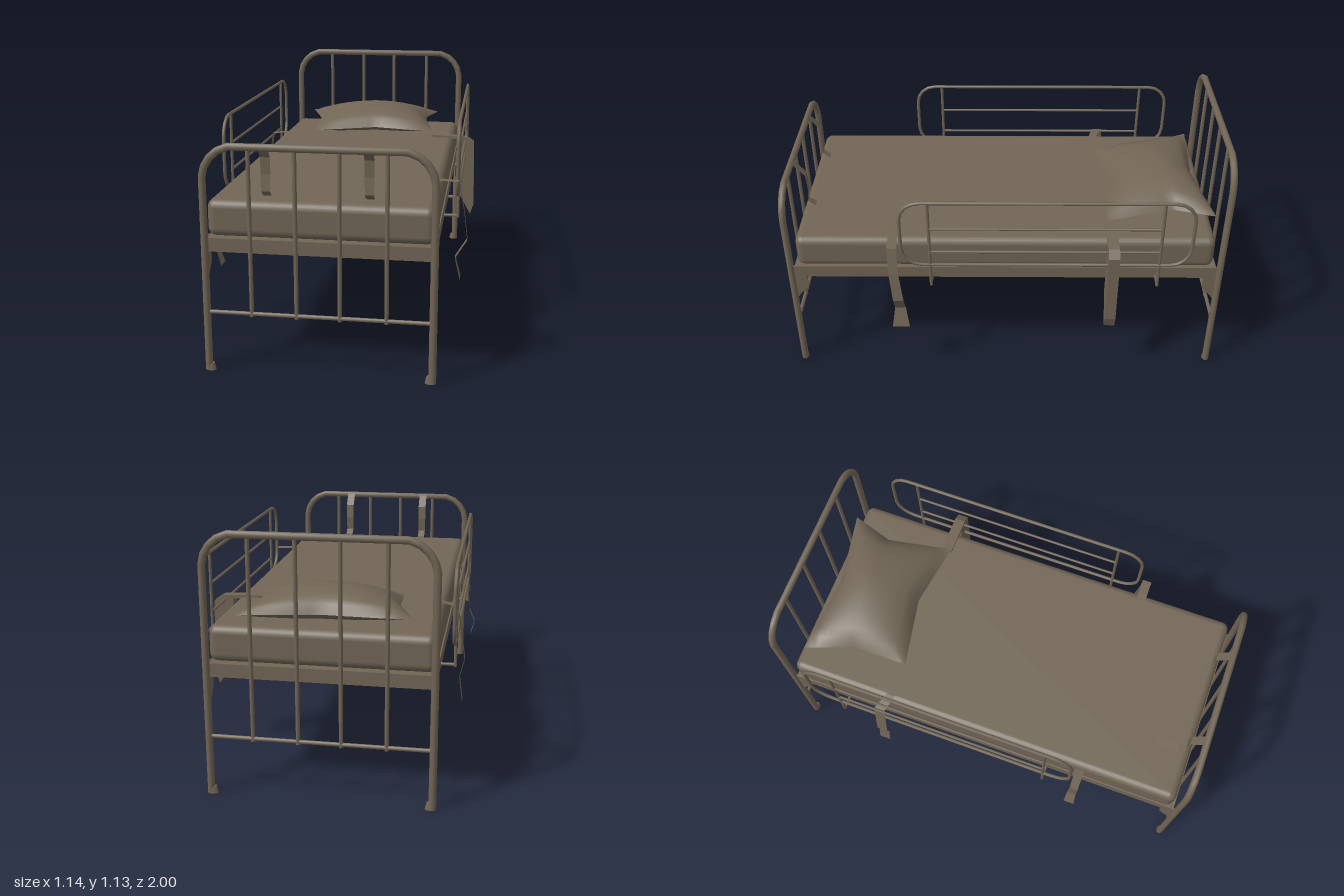
import * as THREE from 'three';
import { RoundedBoxGeometry } from 'three/addons/geometries/RoundedBoxGeometry.js';

const CX = -0.01; // bed centre line
const brown = new THREE.MeshStandardMaterial({ color: 0x716555, side: THREE.DoubleSide });
brown.name = 'worn brown';

// Straight-segment path with one tube ring per point
class Polyline extends THREE.Curve {
  constructor(points, closed) {
    super();
    this.p = points.map((a) => new THREE.Vector3(...a));
    this.loop = closed;
  }
  getPoint(t) {
    return this.p[Math.round(t * (this.p.length - 1))].clone();
  }
  getPointAt(t) { return this.getPoint(t); }
  getTangentAt(t) {
    const n = this.p.length - 1, i = Math.round(t * n), out = new THREE.Vector3();
    const add = (k) => out.add(this.p[k + 1].clone().sub(this.p[k]).normalize());
    if (i > 0 || this.loop) add((i - 1 + n) % n);
    if (i < n || this.loop) add(i % n);
    return out.normalize();
  }
}

function part(parent, name, geometry, x = 0, y = 0, z = 0) {
  const mesh = new THREE.Mesh(geometry, brown);
  mesh.name = name;
  mesh.position.set(x, y, z);
  parent.add(mesh);
  return mesh;
}

function pipe(parent, name, points, radius, closed = false) {
  const pts = closed ? [...points, points[0]] : points;
  part(parent, name, new THREE.TubeGeometry(new Polyline(pts, closed), pts.length - 1, radius, 8, closed));
}

// Flat band; each row is [x, y, z, half width], spread along x or z
function band(parent, name, rows, axis) {
  const pos = [], index = [];
  rows.forEach(([x, y, z, w], i) => {
    for (const s of [-1, 1]) pos.push(axis === 'x' ? x + s * w : x, y, axis === 'z' ? z + s * w : z);
    if (i) index.push(2 * i - 2, 2 * i - 1, 2 * i, 2 * i - 1, 2 * i + 1, 2 * i);
  });
  const g = new THREE.BufferGeometry();
  g.setAttribute('position', new THREE.Float32BufferAttribute(pos, 3));
  g.setIndex(index);
  const flat = g.toNonIndexed();
  flat.computeVertexNormals();
  part(parent, name, flat);
}

// Bent end frame with feet, bars and corner brackets
function endBoard(parent, name, z, top) {
  const g = new THREE.Group();
  g.name = name;
  parent.add(g);
  const half = [[0.465, 0], [0.465, top - 0.125], [0.455, top - 0.083], [0.433, top - 0.047], [0.4, top - 0.018], [0.355, top]];
  const mirrored = half.map(([x, y]) => [-x, y]).reverse();
  pipe(g, 'bentPost', [...half, ...mirrored].map(([x, y]) => [CX + x, y, z]), 0.016);
  for (const x of [-0.286, -0.1, 0.078, 0.267]) pipe(g, 'verticalBar', [[x, 0.245, z], [x, top, z]], 0.009);
  pipe(g, 'lowerBar', [[CX - 0.46, 0.257, z], [CX + 0.46, 0.257, z]], 0.009);
  const inward = -Math.sign(z);
  for (const s of [-1, 1]) {
    const foot = part(g, 'foot', new THREE.CylinderGeometry(0.016, 0.023, 0.03, 8), CX + s * 0.457, 0.015, z);
    foot.scale.z = 0.75;
    const shape = new THREE.Shape([[0, 0.37], [0.07, 0.455], [0.07, 0.57], [0, 0.57]]
      .map(([d, y]) => new THREE.Vector2(-(z + inward * d), y)));
    const bracket = part(g, 'cornerBracket',
      new THREE.ExtrudeGeometry(shape, { depth: 0.008, bevelEnabled: false }), CX + s * 0.463 - 0.004, 0, 0);
    bracket.rotation.y = Math.PI / 2;
  }
}

function sideRail(parent, name, x, inner) {
  const g = new THREE.Group();
  g.name = name;
  parent.add(g);
  // Rounded outline running along the bed
  const loop = [];
  const corners = [[-0.735, 0.875, 1], [0.37, 0.875, 0], [0.37, 0.725, 3], [-0.735, 0.725, 2]];
  corners.reverse().forEach(([z, y, q]) => {
    for (let i = 0; i <= 4; i++) {
      const a = (q + i / 4) * Math.PI / 2;
      // angle 0 points to the foot end
      loop.push([q, a, [x, y + 0.092 * Math.sin(a), z + 0.092 * Math.cos(a)]]);
    }
  });
  loop.sort((a, b) => a[0] - b[0] || a[1] - b[1]);
  pipe(g, 'railOutline', loop.map((e) => e[2]), 0.008, true);
  for (const z of [0.335, -0.69]) {
    pipe(g, 'railPost', [[x, 0.968, z], [x, 0.515, z]], 0.007);
    pipe(g, 'railBracket', [[x, 0.523, z], [inner, 0.523, z]], 0.007);
  }
  for (const y of [0.83, 0.705]) pipe(g, 'railBar', [[x, y, 0.335], [x, y, -0.69]], 0.006);
}

// Cushion spanned between four corners, with sides pinched inward
function pillowGeometry() {
  const ring = [ // [x, seam y, z]
    [[-0.385, 0.778, -0.92], [0.0, 0.775, -0.895], [0.34, 0.775, -0.96]],
    [[-0.3, 0.77, -0.69], null, [0.28, 0.77, -0.765]],
    [[-0.29, 0.745, -0.445], [0.03, 0.76, -0.505], [0.345, 0.752, -0.46]],
  ].map((r) => r.map((p) => p && new THREE.Vector3(...p)));
  const mix = (a, b, t) => a.clone().lerp(b, t);
  const edge = (a, m, b, t) => (t < 0.5 ? mix(a, m, t * 2) : mix(m, b, t * 2 - 1));
  const N = 16, pos = [], index = [];
  for (const side of [1, -1]) {
    const base = pos.length / 3;
    for (let j = 0; j <= N; j++) for (let i = 0; i <= N; i++) {
      const u = i / N, v = j / N;
      const back = edge(...ring[0], u), front = edge(...ring[2], u);
      const left = edge(ring[0][0], ring[1][0], ring[2][0], v);
      const right = edge(ring[0][2], ring[1][2], ring[2][2], v);
      const p = mix(back, front, v).add(mix(left, right, u))
        .sub(mix(mix(ring[0][0], ring[0][2], u), mix(ring[2][0], ring[2][2], u), v));
      const puff = Math.pow(16 * u * (1 - u) * v * (1 - v), 0.55);
      pos.push(p.x, p.y + puff * (side > 0 ? 0.092 : -0.045), p.z);
      if (i < N && j < N) {
        const a = base + j * (N + 1) + i, b = a + 1, c = a + N + 1, d = c + 1;
        if (side > 0) index.push(a, c, b, b, c, d);
        else index.push(a, b, c, b, d, c);
      }
    }
  }
  const g = new THREE.BufferGeometry();
  g.setAttribute('position', new THREE.Float32BufferAttribute(pos, 3));
  g.setIndex(index);
  g.computeVertexNormals();
  return g;
}

export function createModel() {
  const bed = new THREE.Group();
  bed.name = 'hospitalBed';

  endBoard(bed, 'headboard', -0.983, 1.11);
  endBoard(bed, 'footboard', 0.983, 0.952);
  part(bed, 'bedFrame', new THREE.BoxGeometry(0.93, 0.058, 1.93), CX, 0.539, 0);
  part(bed, 'mattress', new RoundedBoxGeometry(0.93, 0.155, 1.9, 3, 0.035), CX, 0.645, 0);
  part(bed, 'pillow', pillowGeometry());
  sideRail(bed, 'leftSideRail', 0.517, 0.44);
  sideRail(bed, 'rightSideRail', -0.535, -0.46);

  // Straps from the foot rail onto the mattress
  for (const x of [-0.232, 0.188]) {
    band(bed, 'footStrap', [[x, 0.965, 0.975, 0.02], [x, 0.9, 0.92, 0.02], [x, 0.83, 0.915, 0.02],
      [x, 0.76, 0.922, 0.018], [x, 0.735, 0.89, 0.018], [x, 0.73, 0.78, 0.02]], 'x');
  }

  // Straps hanging over the sides
  band(bed, 'leftLowerStrap', [[0.32, 0.727, 0.51, 0.022], [0.45, 0.73, 0.505, 0.022], [0.525, 0.727, 0.505, 0.022],
    [0.55, 0.6, 0.5, 0.022], [0.567, 0.46, 0.485, 0.024], [0.515, 0.375, 0.485, 0.025], [0.54, 0.278, 0.485, 0.04]], 'z');
  band(bed, 'rightUpperStrap', [[-0.34, 0.727, -0.42, 0.005], [-0.45, 0.73, -0.455, 0.02], [-0.53, 0.72, -0.48, 0.025],
    [-0.55, 0.58, -0.485, 0.026], [-0.565, 0.48, -0.485, 0.026], [-0.545, 0.4, -0.495, 0.026], [-0.56, 0.29, -0.498, 0.028]], 'z');
  band(bed, 'rightLowerStrap', [[-0.47, 0.69, 0.495, 0.02], [-0.495, 0.64, 0.495, 0.02], [-0.54, 0.55, 0.495, 0.02],
    [-0.54, 0.43, 0.49, 0.022], [-0.57, 0.36, 0.49, 0.025], [-0.55, 0.29, 0.487, 0.035]], 'z');
  const fold = new THREE.Shape([[0.34, 0.715], [0.475, 0.715], [0.477, 0.446], [0.555, 0.305], [0.572, 0.36],
    [0.565, 0.7], [0.525, 0.727], [0.34, 0.735]].map((p) => new THREE.Vector2(...p)));
  part(bed, 'leftUpperStrap', new THREE.ExtrudeGeometry(fold, { depth: 0.05, bevelEnabled: false }), 0, 0, -0.508);
  return bed;
}
